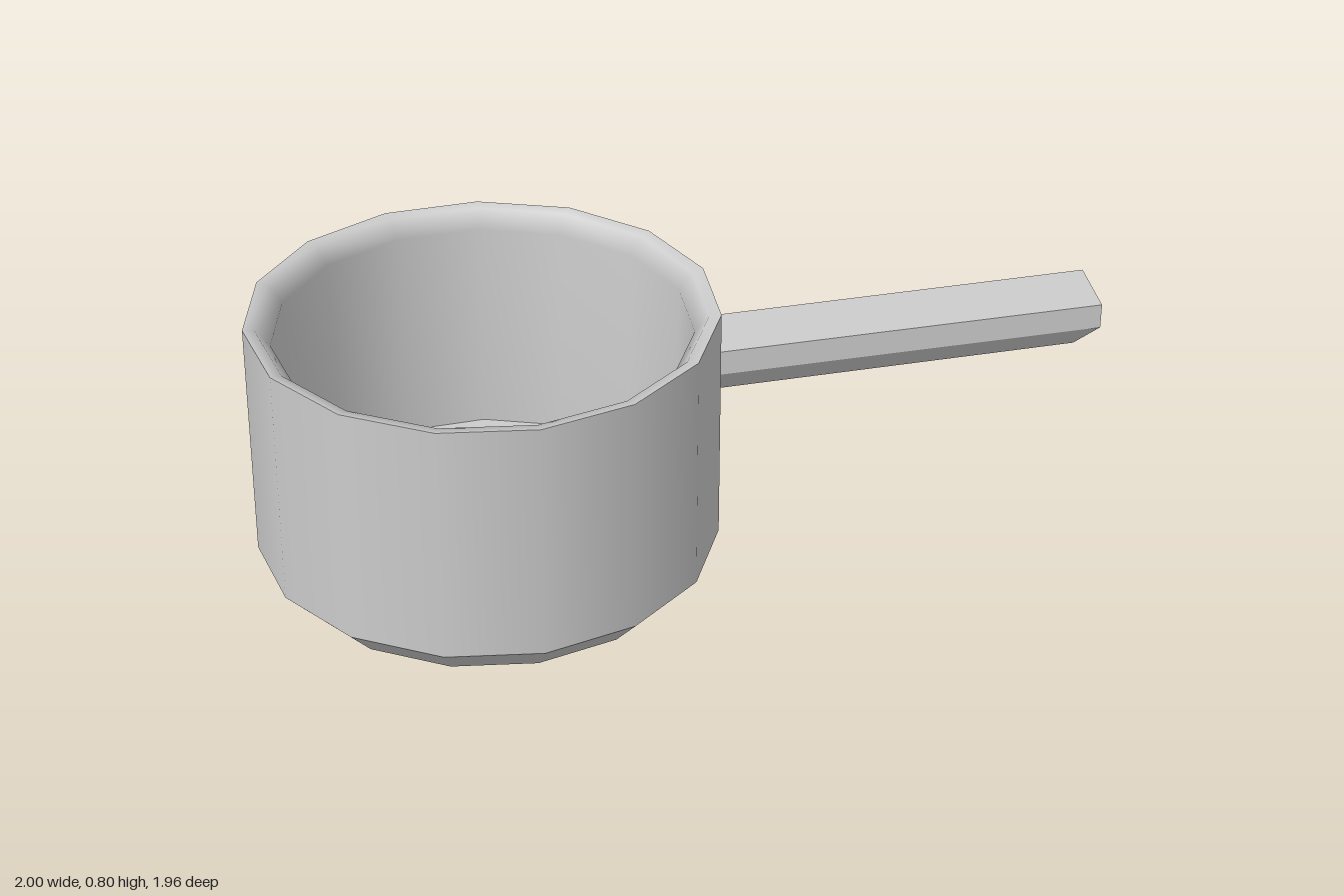
import * as THREE from 'three';

const SIDES = 15;

// One smooth band of the pot; separate bands keep the creases between them sharp
function band(name, profile, material) {
  const points = profile.map(([r, y]) => new THREE.Vector2(r, y));
  const mesh = new THREE.Mesh(new THREE.LatheGeometry(points, SIDES, Math.PI - 0.025), material);
  mesh.name = name;
  return mesh;
}

// Tapered bar: flat top, bevelled underside, rising gently towards the tip
function handleGeometry(length, width) {
  const geo = new THREE.BoxGeometry(length, 2, width, 1, 2, 1);
  const pos = geo.attributes.position;
  const drop = [0.148, 0.073, 0]; // bottom, bevel edge, top
  for (let i = 0; i < pos.count; i++) {
    let x = pos.getX(i) + length / 2;
    let z = pos.getZ(i);
    const level = Math.round(pos.getY(i)) + 1;
    const y = 0.655 + 0.065 * (x / length) - drop[level];
    if (level === 0) {
      z -= Math.sign(z) * 0.053;
      if (x > length / 2) x -= 0.06;
    }
    pos.setXYZ(i, x, y, z);
  }
  geo.computeVertexNormals();
  return geo;
}

export function createModel() {
  const model = new THREE.Group();
  model.name = 'saucepan';
  const smooth = new THREE.MeshStandardMaterial({ color: 0xcccccc });
  const flat = new THREE.MeshStandardMaterial({ color: 0xcccccc, flatShading: true });

  // Pot body
  const pot = new THREE.Group();
  pot.name = 'pot';
  pot.position.set(-0.338, 0, -0.322);
  pot.add(
    band('base', [[0, 0], [0.58, 0]], smooth),
    band('baseBevel', [[0.58, 0], [0.664, 0.09]], smooth),
    band('outerWall', [[0.664, 0.09], [0.664, 0.8]], smooth),
    band('rimAndInnerWall', [[0.664, 0.8], [0.63, 0.795], [0.59, 0.745], [0.58, 0.1]], smooth),
    band('floor', [[0.58, 0.1], [0, 0.1]], smooth)
  );
  model.add(pot);

  // Handle, pointing diagonally forward
  const handle = new THREE.Mesh(handleGeometry(1.11, 0.212), flat);
  handle.name = 'handle';
  handle.position.set(0.138, 0, 0.113);
  handle.rotation.y = -Math.PI / 4;
  model.add(handle);

  return model;
}
